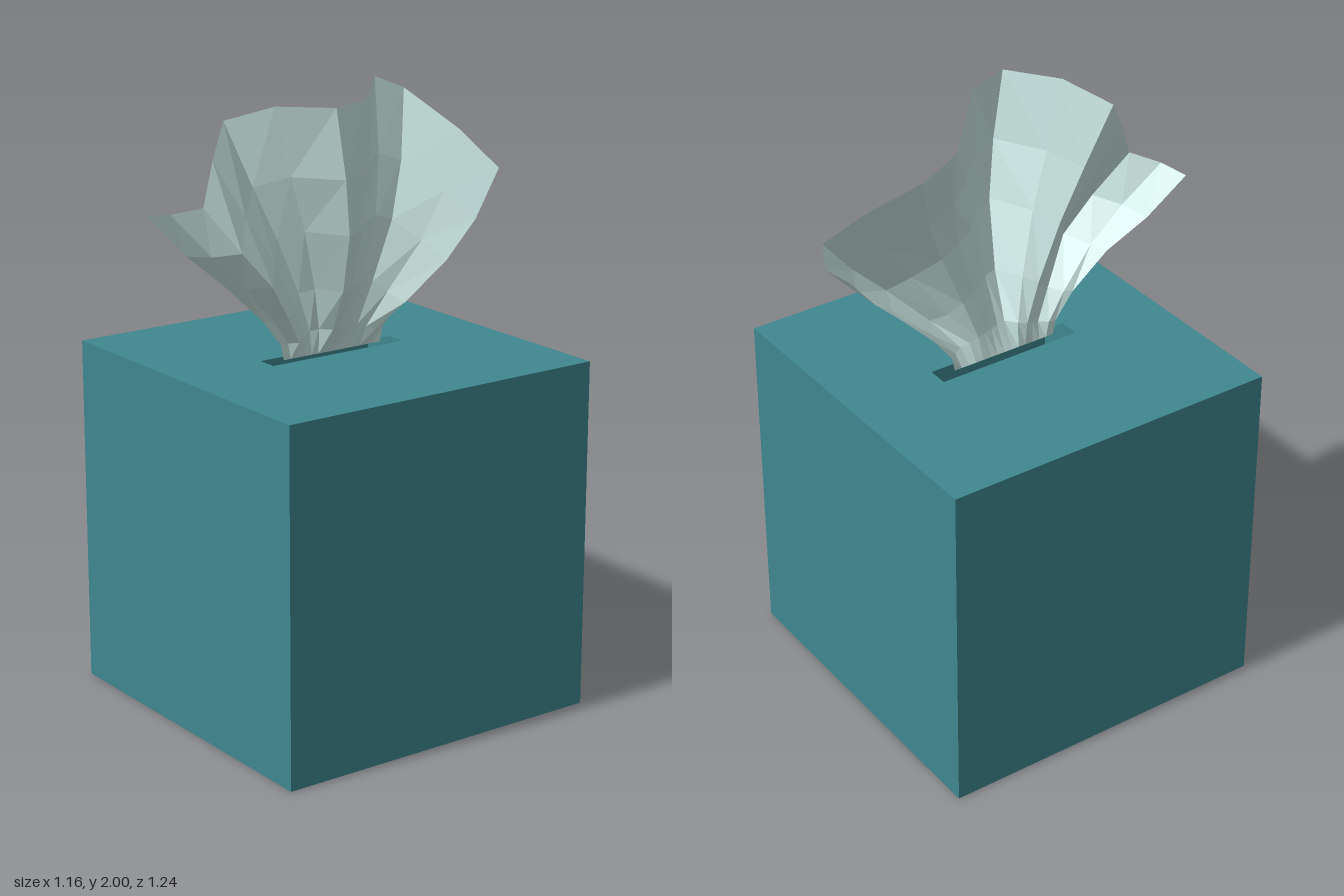
import * as THREE from 'three';

const SIZE = 1.16;

// Flat panel with an optional hole list, lying on the lid plane
function makeLid() {
  const h = SIZE / 2;
  const shape = new THREE.Shape([[-h, -h], [h, -h], [h, h], [-h, h]].map(p => new THREE.Vector2(...p)));
  const slot = [[-0.035, -0.255], [-0.035, 0.255], [0.035, 0.255], [0.035, -0.255]];
  shape.holes.push(new THREE.Path(slot.map(p => new THREE.Vector2(...p))));
  return new THREE.ShapeGeometry(shape).rotateX(-Math.PI / 2).translate(0, SIZE, 0);
}

// Box without its top face (face group 2 is +y)
function makeOpenBox() {
  const g = new THREE.BoxGeometry(SIZE, SIZE, SIZE).translate(0, SIZE / 2, 0);
  const index = Array.from(g.index.array);
  index.splice(12, 6);
  g.setIndex(index);
  g.clearGroups();
  return g;
}

// Pleats from front to back: rim z, rim y, then x at each row above the slot
const PLEATS = [
  [0.615, 1.66, 0, 0, -0.02, -0.075, -0.12],
  [0.585, 1.675, 0, 0.01, 0.03, 0.02, -0.03],
  [0.515, 1.70, 0.02, 0.05, 0.115, 0.10, 0.045],
  [0.45, 1.83, 0.01, 0.03, 0.06, 0.04, 0],
  [0.385, 1.94, 0, 0.005, 0.01, 0, -0.035],
  [0.295, 1.995, 0.01, 0.04, 0.08, 0.10, 0.11],
  [0.175, 2, 0.045, 0.13, 0.22, 0.255, 0.26],
  [0.02, 2, 0.04, 0.11, 0.17, 0.19, 0.20],
  [-0.10, 2, 0.03, 0.07, 0.09, 0.08, 0.06],
  [-0.26, 2, 0.02, 0.04, 0.03, -0.03, -0.125],
  [-0.385, 1.95, 0.015, 0.03, 0.02, -0.04, -0.135],
  [-0.51, 1.82, 0.02, 0.05, 0.08, 0.06, 0],
  [-0.59, 1.70, 0.03, 0.095, 0.145, 0.14, 0.105],
  [-0.62, 1.65, 0.02, 0.04, 0.07, 0.07, 0.045],
  [-0.597, 1.645, 0, 0, 0, -0.02, -0.05],
];
const RISE = [0, 0.1, 0.27, 0.51, 0.73, 1];      // height fraction of each row
const SPREAD = [0, 0.025, 0.18, 0.46, 0.73, 1];  // fan-out fraction of each row

// Sheet lofted from the slot line up to the pleated rim
function makeTissue() {
  const pos = [], index = [], rows = RISE.length;
  PLEATS.forEach(([rimZ, rimY, ...xs], c) => {
    const baseZ = THREE.MathUtils.lerp(0.19, -0.19, c / (PLEATS.length - 1));
    RISE.forEach((t, r) => pos.push(
      r ? xs[r - 1] : 0,
      THREE.MathUtils.lerp(SIZE, rimY, t),
      THREE.MathUtils.lerp(baseZ, rimZ, SPREAD[r])));
    if (!c) return;
    for (let r = 0; r < rows - 1; r++) {
      const a = (c - 1) * rows + r, b = c * rows + r;
      index.push(a, b, b + 1, a, b + 1, a + 1);
    }
  });
  const g = new THREE.BufferGeometry();
  g.setAttribute('position', new THREE.Float32BufferAttribute(pos, 3));
  g.setIndex(index);
  const flat = g.toNonIndexed();
  flat.computeVertexNormals();
  return flat;
}

export function createModel() {
  const group = new THREE.Group();
  group.name = 'tissueBox';
  const boxMat = new THREE.MeshStandardMaterial({ color: 0x3f878f, side: THREE.DoubleSide });
  const tissueMat = new THREE.MeshStandardMaterial({ color: 0xc8e4e0, side: THREE.DoubleSide, flatShading: true });
  const add = (name, geometry, material) => {
    const mesh = new THREE.Mesh(geometry, material);
    mesh.name = name;
    group.add(mesh);
  };
  add('carton', makeOpenBox(), boxMat);
  add('slottedLid', makeLid(), boxMat);
  add('tissue', makeTissue(), tissueMat);
  return group;
}
